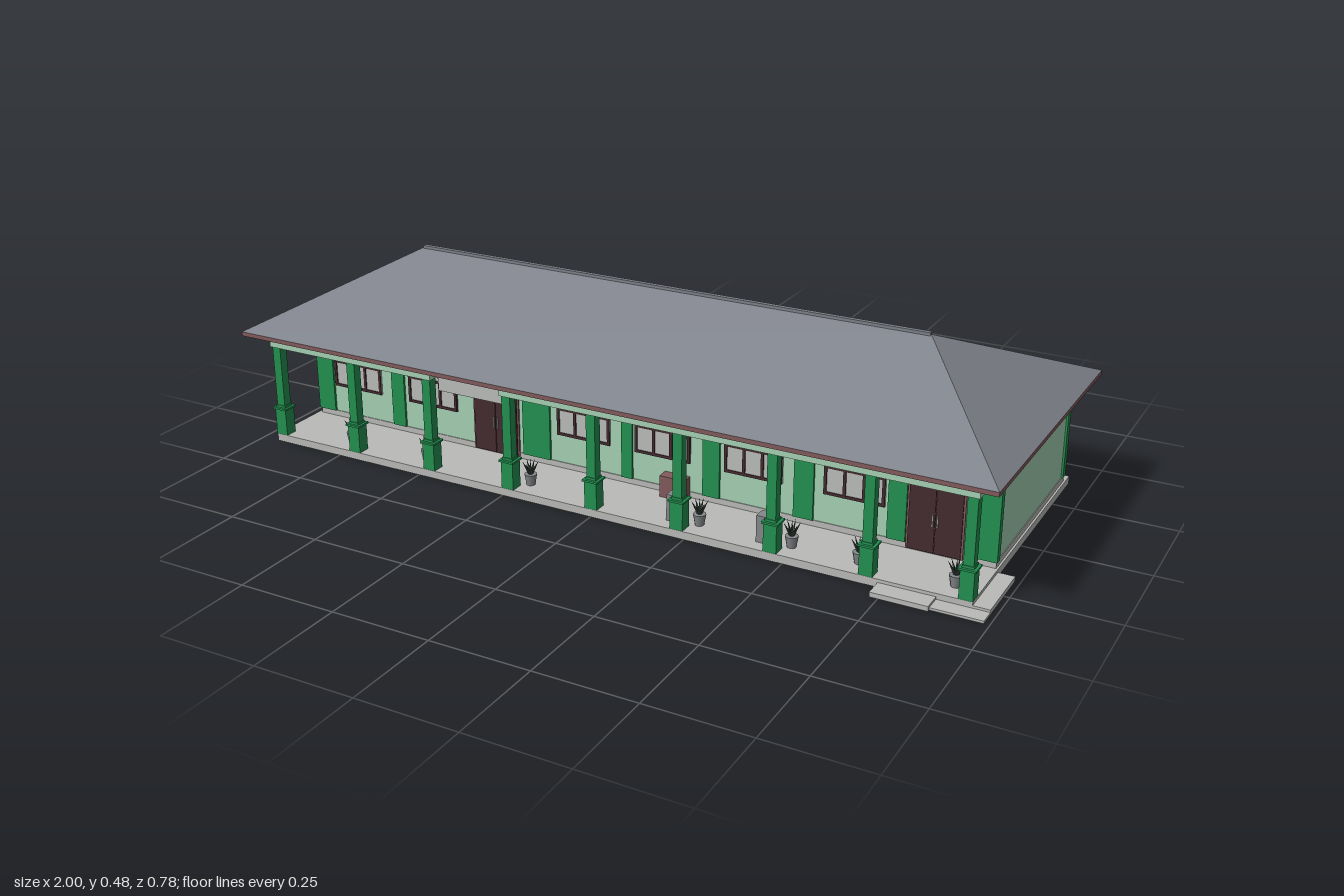
import * as THREE from 'three';

const mat = (name, color) => {
  const m = new THREE.MeshStandardMaterial({ color });
  m.name = name;
  return m;
};

export function createModel() {
  const root = new THREE.Group();
  root.name = 'verandahBuilding';
  const roofGrey = mat('roof grey', 0x7e828a);
  const fasciaRed = mat('fascia red', 0x835a5c);
  const wallGreen = mat('wall green', 0xa6d2b5);
  const trimGreen = mat('trim green', 0x229150);
  const concrete = mat('concrete', 0xbabbb8);
  const glass = mat('window pane', 0xbcbeba);
  const darkWood = mat('dark wood', 0x442b2f);
  const potGrey = mat('pot grey', 0x85888a);
  const leafDark = mat('leaf', 0x37483d);
  leafDark.side = THREE.DoubleSide;

  const add = (parent, name, geo, material, x = 0, y = 0, z = 0) => {
    const m = new THREE.Mesh(geo, material);
    m.name = name;
    m.position.set(x, y, z);
    parent.add(m);
    return m;
  };
  // box given by its extents
  const box = (parent, name, material, x0, x1, y0, y1, z0, z1) =>
    add(parent, name, new THREE.BoxGeometry(x1 - x0, y1 - y0, z1 - z0), material,
      (x0 + x1) / 2, (y0 + y1) / 2, (z0 + z1) / 2);
  const group = (name, x = 0, y = 0, z = 0) => {
    const g = new THREE.Group();
    g.name = name;
    g.position.set(x, y, z);
    root.add(g);
    return g;
  };

  // Floor slab, plinth and entrance steps
  box(root, 'floorSlab', concrete, -0.952, 0.947, 0, 0.02, -0.385, 0.343);
  box(root, 'plinth', concrete, -0.942, 0.942, 0.02, 0.035, -0.351, 0.172);
  box(root, 'frontStep', concrete, 0.73, 0.865, 0, 0.012, 0.343, 0.392);
  box(root, 'cornerStep', concrete, 0.865, 0.987, 0, 0.006, 0.343, 0.385);
  box(root, 'sideStep', concrete, 0.947, 0.987, 0, 0.012, 0.172, 0.343);

  // Main walls
  box(root, 'walls', wallGreen, -0.94, 0.94, 0.035, 0.302, -0.349, 0.17);

  // Hip roof
  const a = [-1, 0.31, 0.39], b = [1, 0.31, 0.39], c = [1, 0.31, -0.39], d = [-1, 0.31, -0.39];
  const e = [-0.7, 0.475, 0], f = [0.7, 0.475, 0];
  const roofGeo = new THREE.BufferGeometry();
  roofGeo.setAttribute('position', new THREE.Float32BufferAttribute(
    [a, b, f, a, f, e, b, c, f, c, d, e, c, e, f, d, a, e].flat(), 3));
  roofGeo.computeVertexNormals();
  add(root, 'hipRoof', roofGeo, roofGrey);
  box(root, 'ridgeCap', roofGrey, -0.7, 0.7, 0.468, 0.48, -0.006, 0.006);
  box(root, 'soffit', roofGrey, -0.99, 0.99, 0.301, 0.309, -0.38, 0.38);
  for (const s of [-1, 1]) {
    box(root, 'longFascia', fasciaRed, -1, 1, 0.299, 0.31, s * 0.386 - 0.004, s * 0.386 + 0.004);
    box(root, 'endFascia', fasciaRed, s * 0.996 - 0.004, s * 0.996 + 0.004, 0.299, 0.31, -0.385, 0.385);
  }

  // Verandah columns
  const columnX = [-0.937, -0.7, -0.468, -0.235, 0, 0.23, 0.468, 0.7, 0.93];
  for (const x of columnX) {
    const g = group('verandahColumn', x, 0, 0.326);
    const tier = (name, w, y0, y1) => box(g, name, trimGreen, -w / 2, w / 2, y0, y1, -w / 2, w / 2);
    tier('columnBase', 0.033, 0.02, 0.09);
    tier('columnCap', 0.041, 0.09, 0.095);
    tier('columnNeck', 0.028, 0.095, 0.101);
    tier('columnShaft', 0.024, 0.101, 0.262);
  }
  // Beams along the front and across the ends
  for (let i = 0; i < columnX.length - 1; i++) {
    if (i === 2) continue;
    box(root, 'frontBeam', wallGreen, columnX[i] - 0.016, columnX[i + 1] + 0.016, 0.262, 0.302, 0.31, 0.342);
  }
  for (const x of [-0.937, 0.93])
    box(root, 'endBeam', wallGreen, x - 0.012, x + 0.012, 0.267, 0.302, 0.17, 0.31);
  // Plain hanging board over the main entrance
  box(root, 'entranceBoard', glass, -0.452, -0.25, 0.225, 0.302, 0.304, 0.308);

  // Pilasters on the front and rear walls
  for (const [x, w] of [[-0.68, 0.04], [-0.255, 0.08], [0.005, 0.03], [0.235, 0.045], [0.475, 0.05], [0.705, 0.045]])
    box(root, 'frontPilaster', trimGreen, x - w / 2, x + w / 2, 0.035, 0.265, 0.165, 0.176);
  box(root, 'rearPilaster', trimGreen, -0.032, 0.032, 0.035, 0.265, -0.353, -0.345);
  for (const s of [-1, 1]) {
    const x0 = s > 0 ? 0.892 : -0.945;
    box(root, 'frontCornerPilaster', trimGreen, x0, x0 + 0.053, 0.035, 0.265, 0.157, 0.176);
    box(root, 'rearCornerPilaster', trimGreen, x0, x0 + 0.053, 0.035, 0.265, -0.353, -0.332);
  }

  // Windows: pane, outer frame, two mullions and a transom
  const makeWindow = (x, z, w, back) => {
    const g = group('window', x, 0.165, z);
    if (back) g.rotation.y = Math.PI;
    const h = 0.11, t = 0.007;
    box(g, 'panes', glass, -w / 2, w / 2, -h / 2, h / 2, -0.002, 0.002);
    for (const u of [-0.5, -1 / 6, 1 / 6, 0.5]) {
      const cx = u * (w - t);
      box(g, 'upright', darkWood, cx - t / 2, cx + t / 2, -h / 2, h / 2, -0.002, 0.005);
    }
    for (const cy of [-h / 2 + t / 2, 0.015, h / 2 - t / 2])
      box(g, 'rail', darkWood, -w / 2, w / 2, cy - t / 2, cy + t / 2, -0.002, 0.0045);
  };
  for (const x of [-0.81, -0.57, -0.118, 0.103, 0.345, 0.6]) makeWindow(x, 0.172, 0.15, false);
  for (const x of [0.725, 0.272, -0.28, -0.735]) makeWindow(x, -0.351, 0.155, true);

  // Double doors with a light above
  for (const x of [-0.375, 0.797]) {
    const g = group('doubleDoor', x, 0, 0.172);
    box(g, 'doorFrame', fasciaRed, -0.068, 0.068, 0.022, 0.204, -0.001, 0.003);
    box(g, 'transomLight', glass, -0.066, 0.066, 0.204, 0.24, -0.001, 0.003);
    for (const s of [-1, 1]) {
      box(g, 'doorLeaf', darkWood, s * 0.032 - 0.0312, s * 0.032 + 0.0312, 0.024, 0.199, 0, 0.006);
      box(g, 'doorHandle', glass, s * 0.006 - 0.0015, s * 0.006 + 0.0015, 0.09, 0.12, 0.005, 0.009);
    }
  }

  // Wall units, bench and bins
  for (const x of [-0.195, -0.035]) {
    box(root, 'wallUnit', concrete, x - 0.022, x + 0.022, 0.232, 0.262, 0.17, 0.193);
    box(root, 'wallUnitBase', fasciaRed, x - 0.022, x + 0.022, 0.226, 0.232, 0.17, 0.193);
  }
  box(root, 'cabinet', fasciaRed, 0.11, 0.178, 0.02, 0.075, 0.172, 0.202);
  for (const x of [0.203, 0.435])
    box(root, 'bin', potGrey, x - 0.017, x + 0.017, 0.02, 0.087, 0.276, 0.308);

  // Potted plants
  const potGeo = new THREE.CylinderGeometry(0.016, 0.011, 0.028, 10);
  const leafGeo = new THREE.ConeGeometry(0.005, 0.042, 4);
  leafGeo.translate(0, 0.021, 0);
  for (const x of [-0.745, -0.51, -0.2, 0.265, 0.5, 0.665, 0.89]) {
    const g = group('pottedPlant', x, 0.02, 0.291);
    add(g, 'pot', potGeo, potGrey, 0, 0.014, 0);
    for (let i = 0; i < 7; i++) {
      const leaf = add(g, 'leaf', leafGeo, leafDark, 0, 0.025, 0);
      leaf.rotation.order = 'YXZ';
      leaf.rotation.set(i ? 0.5 : 0, i * Math.PI / 3, 0);
    }
  }
  return root;
}
